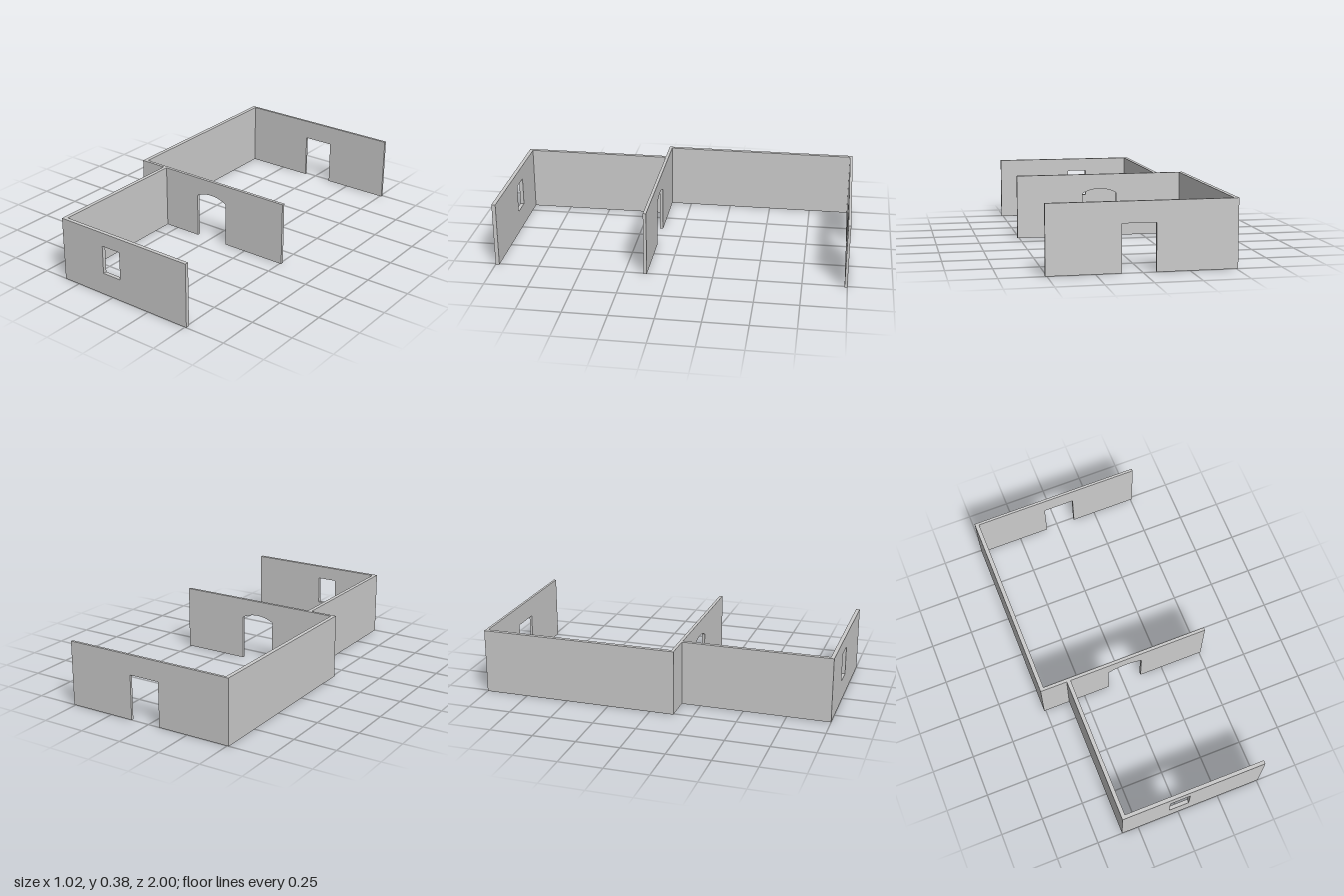
import * as THREE from 'three';

const H = 0.375; // wall height
const material = new THREE.MeshStandardMaterial({ color: 0xcccccc, flatShading: true });

// Wall facing z, extruded from an outline with optional holes
function crossWall(name, x0, x1, z0, z1, { door, hole } = {}) {
  const s = new THREE.Shape();
  s.moveTo(x0, 0);
  if (door) {
    const { left, right, spring, rise } = door;
    s.lineTo(left, 0);
    s.lineTo(left, spring);
    if (rise) {
      // segmental arch over the doorway
      const a = (right - left) / 2;
      const r = (a * a + rise * rise) / (2 * rise);
      const t = Math.asin(a / r);
      s.absarc((left + right) / 2, spring + rise - r, r, Math.PI / 2 + t, Math.PI / 2 - t, true);
    }
    s.lineTo(right, spring);
    s.lineTo(right, 0);
  }
  s.lineTo(x1, 0);
  s.lineTo(x1, H);
  s.lineTo(x0, H);
  s.closePath();
  if (hole) {
    const [l, r, b, t] = hole;
    s.holes.push(new THREE.Path([[l, b], [l, t], [r, t], [r, b]].map(p => new THREE.Vector2(...p))));
  }
  const geo = new THREE.ExtrudeGeometry(s, { depth: z1 - z0, bevelEnabled: false, curveSegments: 16 });
  geo.translate(0, 0, z0);
  const mesh = new THREE.Mesh(geo, material);
  mesh.name = name;
  return mesh;
}

// Solid wall running along z
function sideWall(name, x0, x1, z0, z1) {
  const mesh = new THREE.Mesh(new THREE.BoxGeometry(x1 - x0, H, z1 - z0), material);
  mesh.position.set((x0 + x1) / 2, H / 2, (z0 + z1) / 2);
  mesh.name = name;
  return mesh;
}

export function createModel() {
  const group = new THREE.Group();
  group.name = 'houseWalls';
  group.add(
    crossWall('frontWallWithWindow', -0.35, 0.51, 0.978, 1, { hole: [-0.06, 0.06, 0.13, 0.295] }),
    crossWall('middleWallWithArch', -0.51, 0.51, 0.122, 0.14,
      { door: { left: -0.093, right: 0.114, spring: 0.26, rise: 0.027 } }),
    crossWall('backWallWithDoorway', -0.51, 0.51, -1, -0.985,
      { door: { left: -0.071, right: 0.112, spring: 0.26 } }),
    sideWall('frontRoomSideWall', -0.35, -0.327, 0.14, 0.978),
    sideWall('backRoomSideWall', -0.51, -0.486, -0.985, 0.122),
  );
  return group;
}
